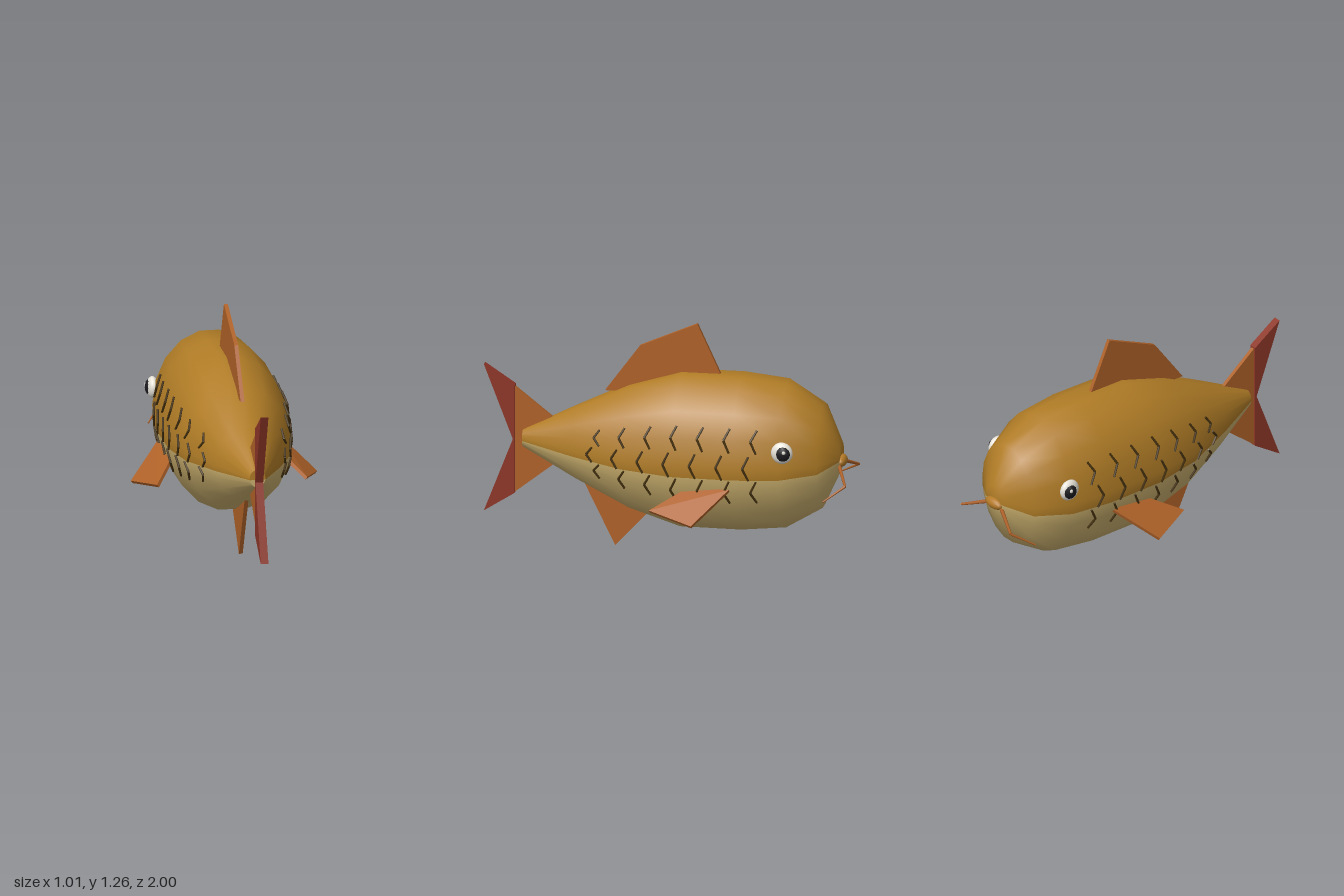
import * as THREE from 'three';
import { ConvexGeometry } from 'three/addons/geometries/ConvexGeometry.js';

const mat = (name, color) => Object.assign(new THREE.MeshStandardMaterial({ color }), { name });
const V = (x, y, z) => new THREE.Vector3(x, y, z);

// Body stations from tail to head: z, half width, bottom y, top y
const STATIONS = [
  [0.79, 0.043, 0.525, 0.622], [0.5, 0.175, 0.37, 0.765], [0.21, 0.287, 0.23, 0.903],
  [-0.07, 0.33, 0.143, 0.99], [-0.4, 0.336, 0.143, 0.992], [-0.645, 0.31, 0.168, 0.968],
  [-0.84, 0.222, 0.283, 0.85], [-0.935, 0.075, 0.49, 0.645],
];

// Point on the body surface at z and angle (degrees from the top towards +x)
function surface(z, deg, lift = 0) {
  let i = 0;
  while (i < STATIONS.length - 2 && z < STATIONS[i + 1][0]) i++;
  const a = STATIONS[i], b = STATIONS[i + 1];
  const t = (z - a[0]) / (b[0] - a[0]);
  const [w, lo, hi] = [1, 2, 3].map((k) => a[k] + (b[k] - a[k]) * t);
  const r = THREE.MathUtils.degToRad(deg);
  const ry = (hi - lo) / 2 / Math.cos(Math.PI / 18);
  return V((w + lift) * Math.sin(r), (lo + hi) / 2 + (ry + lift) * Math.cos(r), z);
}

// Lofted body: 18-sided rings with an extra point at each side where belly meets back
function bodyGeometry() {
  const angles = [99];
  for (let a = 110; a <= 250; a += 20) angles.push(a);
  angles.push(261);
  const bellySegments = angles.length - 1;
  for (let a = 270; a <= 450; a += 20) angles.push(a);
  const n = angles.length, rows = STATIONS.length;
  const pos = [];
  STATIONS.forEach((s) => angles.forEach((a) => pos.push(...surface(s[0], a).toArray())));
  const tailRing = pos.length / 3;
  angles.forEach((a) => pos.push(...surface(STATIONS[0][0], a).toArray()));
  const tailMid = pos.length / 3;
  pos.push(...surface(STATIONS[0][0], 99).setX(0).toArray());
  pos.push(...surface(STATIONS[rows - 1][0], 99).setX(0).toArray());
  const index = [];
  const strip = (from, to) => {
    for (let j = from; j < to; j++) {
      const k = (j + 1) % n;
      for (let i = 0; i < rows - 1; i++) {
        const a = i * n + j, b = i * n + k, c = b + n, d = a + n;
        index.push(a, b, c, a, c, d);
      }
      index.push(tailMid, tailRing + k, tailRing + j);
      index.push(tailMid + 1, (rows - 1) * n + j, (rows - 1) * n + k);
    }
  };
  const g = new THREE.BufferGeometry();
  strip(0, bellySegments);
  g.addGroup(0, index.length, 0);
  const start = index.length;
  strip(bellySegments, n);
  g.addGroup(start, index.length - start, 1);
  g.setAttribute('position', new THREE.Float32BufferAttribute(pos, 3));
  g.setIndex(index);
  g.computeVertexNormals();
  return g;
}

// Upright plate on the centre line from (z, y) corners
function plate(corners, thickness) {
  const shape = new THREE.Shape(corners.map(([z, y]) => new THREE.Vector2(z, y)));
  return new THREE.ExtrudeGeometry(shape, { depth: thickness, bevelEnabled: false })
    .translate(0, 0, -thickness / 2).rotateY(-Math.PI / 2);
}

// Thin rod between two points
function rod(a, b, r0, r1, sides = 6) {
  const dir = b.clone().sub(a);
  const g = new THREE.CylinderGeometry(r1, r0, dir.length(), sides);
  g.applyQuaternion(new THREE.Quaternion().setFromUnitVectors(V(0, 1, 0), dir.normalize()));
  const m = a.clone().add(b).multiplyScalar(0.5);
  return g.translate(m.x, m.y, m.z);
}

export function createModel() {
  const back = mat('golden brown back', 0xb07c26);
  const belly = mat('pale belly', 0xcbb06e);
  const fin = mat('orange fin', 0xae6128);
  const tail = mat('red tail', 0x8e3627);
  const scale = mat('dark scale', 0x46320f);
  const mouth = mat('mouth', 0xb47a28);
  const white = mat('eye white', 0xe6e2d8);
  const black = mat('pupil', 0x1c1c20);

  const model = new THREE.Group();
  model.name = 'fish';
  const add = (name, geometry, material, parent = model) => {
    const m = new THREE.Mesh(geometry, material);
    m.name = name;
    parent.add(m);
    return m;
  };

  add('body', bodyGeometry(), [belly, back]);

  // Centre-line fins
  add('dorsalFin', plate([[0.345, 0.865], [0.155, 1.125], [-0.155, 1.262], [-0.285, 0.98], [-0.25, 0.865]], 0.021), fin);
  add('analFin', plate([[0.47, 0.37], [0.29, 0.003], [0.1, 0.21], [0.2, 0.4]], 0.021), fin);
  add('tailBase', plate([[0.46, 0.565], [0.835, 0.86], [0.835, 0.27]], 0.021), fin);
  add('tailFin', plate([[0.833, 0.867], [1, 0.977], [0.843, 0.567], [1, 0.16], [0.833, 0.267]], 0.042), tail);

  // Mouth
  add('mouth', new THREE.SphereGeometry(1, 12, 8).scale(0.065, 0.032, 0.03).translate(0, 0.543, -0.937), mouth);

  for (const s of [1, -1]) {
    const side = new THREE.Group();
    side.name = s > 0 ? 'leftSide' : 'rightSide';
    model.add(side);
    const p = (x, y, z) => V(s * x, y, z);

    // Pectoral fin: a thin slab
    const corners = [p(0.325, 0.44, -0.385), p(0.5, 0.28, -0.21), p(0.402, 0.325, 0.035), p(0.28, 0.43, -0.16)];
    const normal = V(s * 0.6, 0.78, 0.1).normalize();
    const slab = corners.flatMap((c) => [0.009, -0.009].map((d) => c.clone().addScaledVector(normal, d)));
    add('pectoralFin', new ConvexGeometry(slab), fin, side);

    // Eye
    const ball = (name, r, thick, x, y, z, m, w = 16, h = 12) =>
      add(name, new THREE.SphereGeometry(1, w, h).scale(thick, r, r).translate(s * x, y, z), m, side);
    ball('eyeWhite', 0.059, 0.032, 0.304, 0.66, -0.667, white);
    ball('pupil', 0.041, 0.022, 0.323, 0.66, -0.674, black, 8, 6);
    ball('eyeGlint', 0.011, 0.006, 0.34, 0.672, -0.682, white, 8, 6);

    // Barbel
    const knee = p(0.208, 0.462, -0.992);
    add('barbelUpper', rod(p(0.05, 0.53, -0.93), knee, 0.011, 0.007), fin, side);
    add('barbelLower', rod(knee, p(0.287, 0.393, -0.885), 0.007, 0.004), fin, side);

    // Chevron scale marks in three staggered rows
    for (const [deg, firstZ] of [[70, 0.37], [90, 0.41], [109, 0.37]]) {
      for (let i = 0; i < 7; i++) {
        const z = firstZ - i * 0.1445;
        const apex = surface(z, s * deg, 0.007);
        for (const d of [-9, 9]) {
          add('scaleMark', rod(apex, surface(z - 0.032, s * (deg + d), 0.004), 0.007, 0.006, 5), scale, side);
        }
      }
    }
  }
  return model;
}
